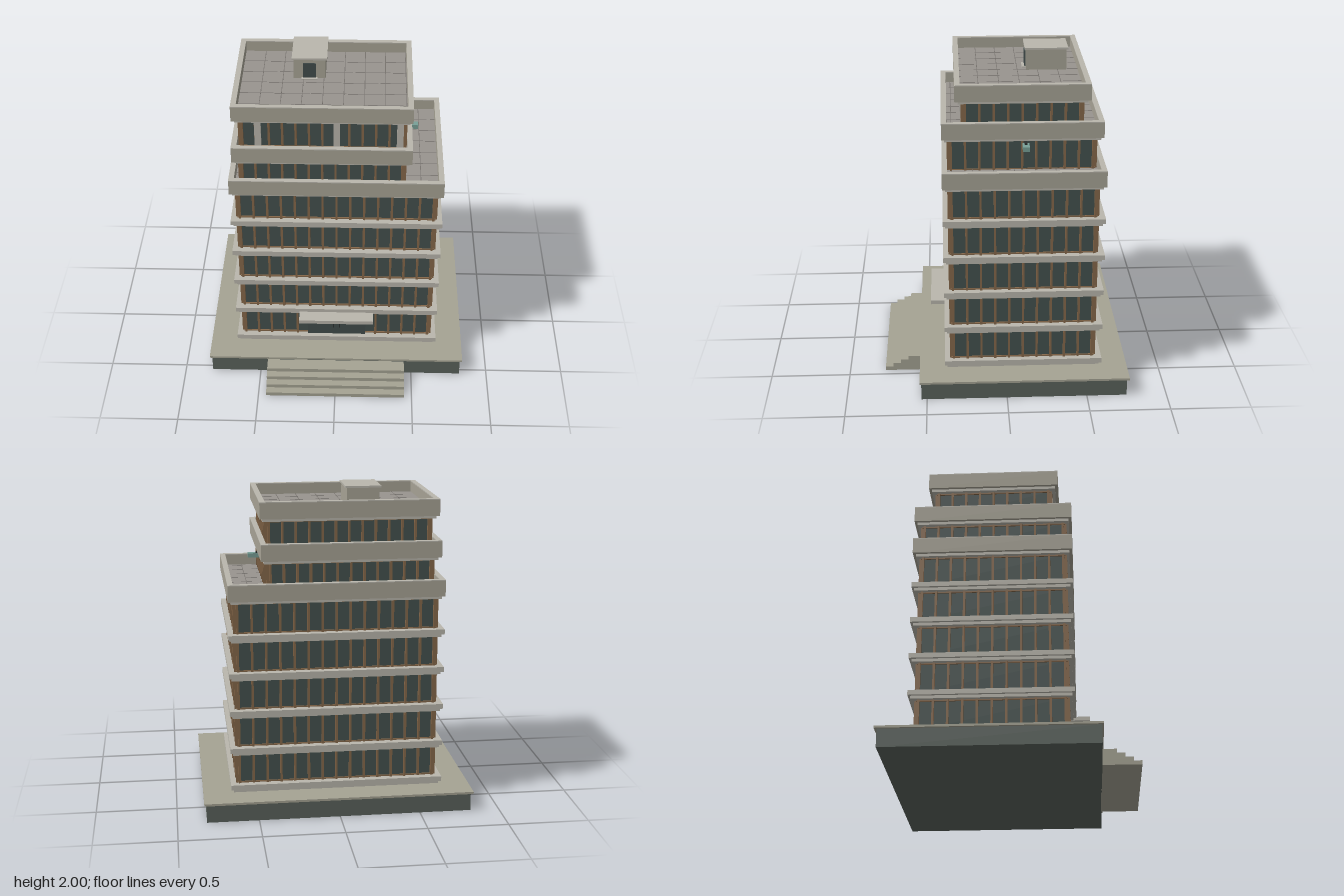
import * as THREE from 'three';
import { mergeGeometries } from 'three/addons/utils/BufferGeometryUtils.js';

const mat = (color) => new THREE.MeshStandardMaterial({ color });
const M = {
  concrete: mat(0xbab7ad), parapet: mat(0xa8a496), paving: mat(0xa5a393), plinth: mat(0x5a625c),
  glass: mat(0x44514e), frame: mat(0x86684a), deck: mat(0x98948f), joint: mat(0x77736e),
  door: mat(0x414c4b), metal: mat(0x2b2f2e), unit: mat(0x78a097),
};

// Box geometry given by its limits on each axis
function box(x0, x1, y0, y1, z0, z1) {
  return new THREE.BoxGeometry(x1 - x0, y1 - y0, z1 - z0)
    .translate((x0 + x1) / 2, (y0 + y1) / 2, (z0 + z1) / 2);
}

function add(parent, name, material, ...geometries) {
  const mesh = new THREE.Mesh(geometries.length > 1 ? mergeGeometries(geometries) : geometries[0], material);
  mesh.name = name;
  parent.add(mesh);
  return mesh;
}

// Four walls round a rectangle r = [x0, x1, z0, z1], t thick
function ring([x0, x1, z0, z1], y0, y1, t) {
  return [
    box(x0, x0 + t, y0, y1, z0, z1), box(x1 - t, x1, y0, y1, z0, z1),
    box(x0 + t, x1 - t, y0, y1, z0, z0 + t), box(x0 + t, x1 - t, y0, y1, z1 - t, z1),
  ];
}

const grow = ([x0, x1, z0, z1], d) => [x0 - d, x1 + d, z0 - d, z1 + d];
const slab = ([x0, x1, z0, z1], y0, y1) => box(x0, x1, y0, y1, z0, z1);

// One glazed storey: glass core with mullions on all four sides
function storey(parent, name, r, y0, y1, nx, nz) {
  const g = new THREE.Group();
  g.name = name;
  parent.add(g);
  add(g, 'glazing', M.glass, slab(r, y0, y1));
  const [x0, x1, z0, z1] = r, w = 0.007, d = 0.018, bars = [];
  for (let i = 0; i <= nx; i++) {
    const x = x0 + w + (x1 - x0 - 2 * w) * i / nx;
    bars.push(box(x - w, x + w, y0, y1, z1, z1 + d), box(x - w, x + w, y0, y1, z0 - d, z0));
  }
  for (let i = 0; i <= nz; i++) {
    const z = z0 + w + (z1 - z0 - 2 * w) * i / nz;
    bars.push(box(x1, x1 + d, y0, y1, z - w, z + w), box(x0 - d, x0, y0, y1, z - w, z + w));
  }
  add(g, 'mullions', M.frame, ...bars);
  const rail = grow(r, 0.008);
  add(g, 'rails', M.frame, ...ring(rail, y0, y0 + 0.008, 0.01), ...ring(rail, y1 - 0.008, y1, 0.01));
}

// Terrace or roof: stepped soffit, paved deck with joints, and a parapet
function terrace(parent, name, r, y) {
  const g = new THREE.Group();
  g.name = name;
  parent.add(g);
  const t = 0.033, top = y + 0.122, deckY = y + 0.05;
  add(g, 'soffit', M.concrete, slab(grow(r, -0.018), y, y + 0.018));
  add(g, 'parapet', M.parapet, ...ring(r, y + 0.018, top - 0.006, t));
  add(g, 'coping', M.concrete, ...ring(r, top - 0.006, top, t));
  const inner = grow(r, -t);
  add(g, 'deck', M.deck, slab(inner, y + 0.018, deckY));
  const [x0, x1, z0, z1] = inner, joints = [], step = 0.128;
  for (let x = x0 + step; x < x1; x += step) joints.push(box(x - 0.002, x + 0.002, deckY, deckY + 0.001, z0, z1));
  for (let z = z0 + step; z < z1; z += step) joints.push(box(x0, x1, deckY, deckY + 0.001, z - 0.002, z + 0.002));
  add(g, 'deckJoints', M.joint, ...joints);
}

export function createModel() {
  const model = new THREE.Group();
  model.name = 'officeBuilding';

  // Plinth with overhanging paving
  add(model, 'plinth', M.plinth, box(-0.82, 0.82, 0, 0.112, -0.75, 0.535));
  add(model, 'plinthPaving', M.paving, box(-0.835, 0.835, 0.112, 0.126, -0.765, 0.545));

  // Entrance steps
  const steps = [];
  for (let i = 0; i < 4; i++) steps.push(box(-0.45, 0.45, 0.025 * i, 0.025 * (i + 1), 0.53, 0.77 - 0.049 * i));
  add(model, 'entranceSteps', M.paving, ...steps);

  // Five main storeys, each standing on a stepped slab
  const edge = [-0.662, 0.662, -0.605, 0.385];
  const core = [-0.612, 0.612, -0.55, 0.335];
  const pitch = 0.2395;
  for (let i = 0; i < 5; i++) {
    const y = 0.126 + pitch * i;
    add(model, 'floorSlab' + (i + 1), M.concrete,
      slab(grow(edge, -0.016), y, y + 0.019), slab(edge, y + 0.019, y + 0.05));
    storey(model, 'storey' + (i + 1), core, y + 0.05, y + pitch, 14, 10);
  }
  terrace(model, 'mainTerrace', edge, 1.323);

  // Sixth storey, set back on the left
  storey(model, 'storey6', [-0.582, 0.408, -0.55, 0.335], 1.37, 1.565, 12, 10);
  terrace(model, 'upperTerrace', [-0.635, 0.46, -0.605, 0.385], 1.565);

  // Seventh storey, set back front and rear, with front piers
  storey(model, 'storey7', [-0.582, 0.408, -0.465, 0.247], 1.612, 1.805, 12, 8);
  add(model, 'frontPiers', M.concrete,
    ...[-0.48, 0, 0.385].map((x) => box(x - 0.02, x + 0.02, 1.612, 1.805, 0.23, 0.267)));
  terrace(model, 'roof', [-0.635, 0.46, -0.52, 0.302], 1.805);

  // Rooftop stair house
  add(model, 'stairHouse', M.parapet, box(-0.28, -0.08, 1.85, 1.988, -0.415, -0.158));
  add(model, 'stairHouseRoof', M.concrete, box(-0.29, -0.07, 1.988, 2, -0.425, -0.15));
  add(model, 'stairHouseDoor', M.door, box(-0.22, -0.14, 1.855, 1.962, -0.16, -0.152));
  add(model, 'stairHouseDoorstep', M.concrete, box(-0.23, -0.13, 1.855, 1.862, -0.16, -0.135));

  // Entrance doors, handles and canopy
  add(model, 'entranceDoors', M.door,
    box(-0.192, -0.001, 0.176, 0.366, 0.33, 0.355), box(0.001, 0.192, 0.176, 0.366, 0.33, 0.355));
  add(model, 'doorHandles', M.metal,
    ...[-0.02, 0.02].map((x) => box(x - 0.004, x + 0.004, 0.235, 0.287, 0.353, 0.364)));
  add(model, 'entranceCanopy', M.concrete, box(-0.242, 0.242, 0.365, 0.391, 0.33, 0.472));

  // Small wall unit on a bracket
  add(model, 'wallUnit', M.unit, box(0.43, 0.508, 1.52, 1.547, -0.15, -0.108));
  add(model, 'wallUnitBracket', M.metal, box(0.405, 0.46, 1.547, 1.556, -0.137, -0.121));

  return model;
}
